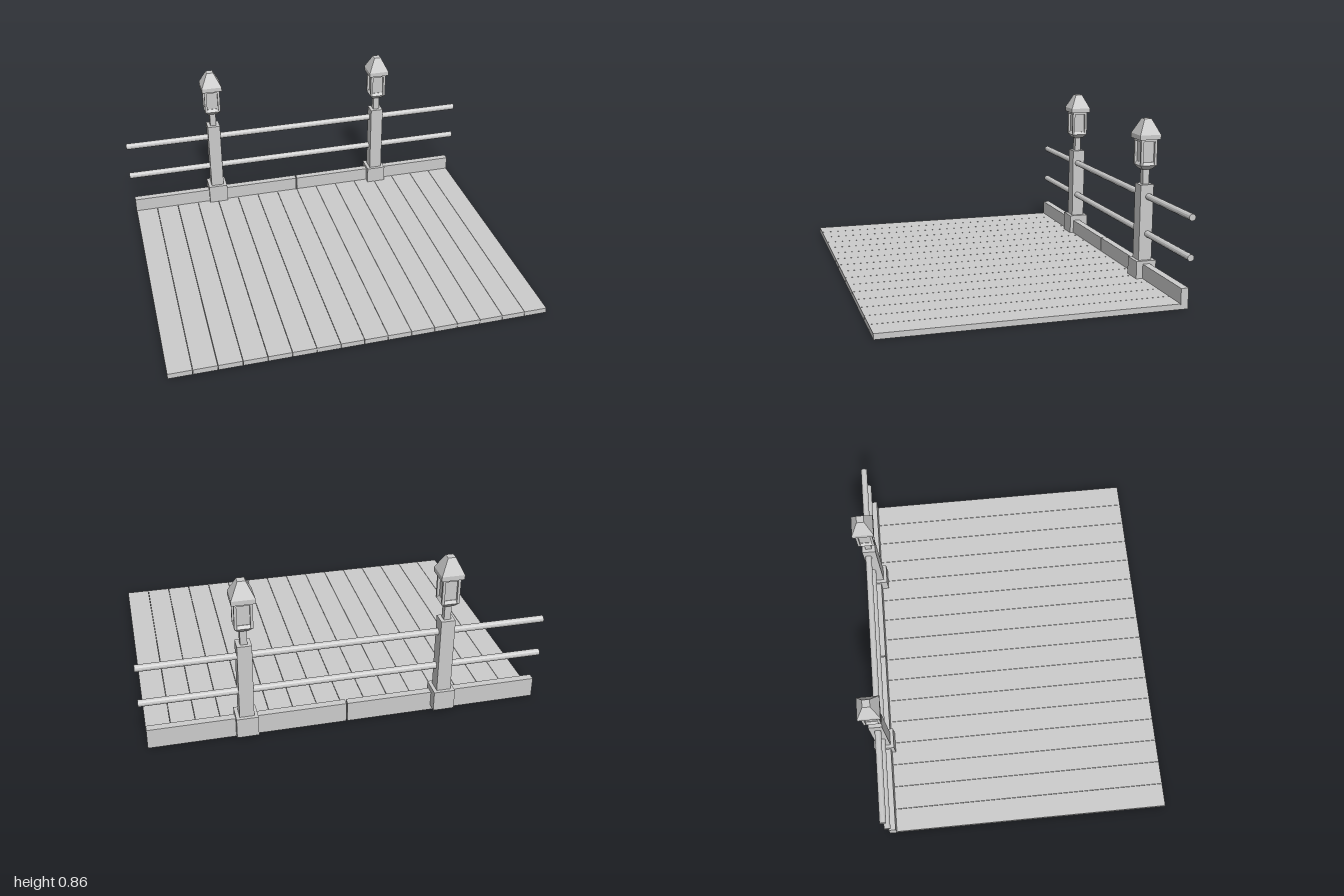
import * as THREE from 'three';

const material = new THREE.MeshStandardMaterial({ color: 0xcccccc, flatShading: true });

function add(parent, name, geometry, x, y, z) {
  const mesh = new THREE.Mesh(geometry, material);
  mesh.name = name;
  mesh.position.set(x, y, z);
  parent.add(mesh);
  return mesh;
}

// Box given by its centre in x and z and its bottom and top heights
function block(parent, name, w, d, y0, y1, x = 0, z = 0) {
  return add(parent, name, new THREE.BoxGeometry(w, y1 - y0, d), x, (y0 + y1) / 2, z);
}

// Square frustum given by bottom and top widths
function taper(parent, name, w0, w1, y0, y1) {
  const geometry = new THREE.CylinderGeometry(w1 * Math.SQRT1_2, w0 * Math.SQRT1_2, y1 - y0, 4);
  geometry.rotateY(Math.PI / 4);
  return add(parent, name, geometry, 0, (y0 + y1) / 2, 0);
}

function createLampPost() {
  const post = new THREE.Group();
  post.name = 'lampPost';
  block(post, 'postBase', 0.107, 0.107, 0.015, 0.12);
  block(post, 'postShaft', 0.071, 0.071, 0.12, 0.514);
  block(post, 'postNeck', 0.034, 0.034, 0.514, 0.595);

  // Lantern: flared foot, recessed panes between corner bars, hipped roof
  taper(post, 'lanternFoot', 0.05, 0.088, 0.591, 0.613);
  taper(post, 'lanternSill', 0.088, 0.066, 0.613, 0.628);
  block(post, 'lanternPanes', 0.062, 0.062, 0.613, 0.746);
  for (const sx of [-1, 1]) {
    for (const sz of [-1, 1]) {
      block(post, 'lanternBar', 0.013, 0.013, 0.613, 0.746, sx * 0.0375, sz * 0.0375);
    }
  }
  block(post, 'lanternTopRim', 0.088, 0.088, 0.734, 0.746);
  block(post, 'roofBrim', 0.113, 0.113, 0.746, 0.77);
  taper(post, 'roof', 0.113, 0.038, 0.77, 0.848);
  return post;
}

export function createModel() {
  const model = new THREE.Group();
  model.name = 'boardwalk';

  // Deck planks
  const deck = new THREE.Group();
  deck.name = 'deck';
  const count = 16, left = -0.984, pitch = 1.958 / count;
  for (let i = 0; i < count; i++) {
    block(deck, 'plank', pitch - 0.002, 1.465, 0, 0.028, left + (i + 0.5) * pitch, 0.0425);
  }
  model.add(deck);

  // Two curb beams along the back edge
  for (const x of [-0.4965, 0.4855]) {
    block(model, 'curb', 0.976, 0.038, 0, 0.104, x, -0.709);
  }

  // Round rails
  for (const y of [0.258, 0.452]) {
    const geometry = new THREE.CylinderGeometry(0.017, 0.017, 2, 12);
    geometry.rotateZ(Math.PI / 2);
    add(model, 'rail', geometry, 0, y, -0.718);
  }

  // Lamp posts, one set slightly higher and further back
  for (const [x, y, z] of [[-0.491, 0.013, -0.724], [0.494, 0, -0.709]]) {
    const post = createLampPost();
    post.position.set(x, y, z);
    model.add(post);
  }
  return model;
}
